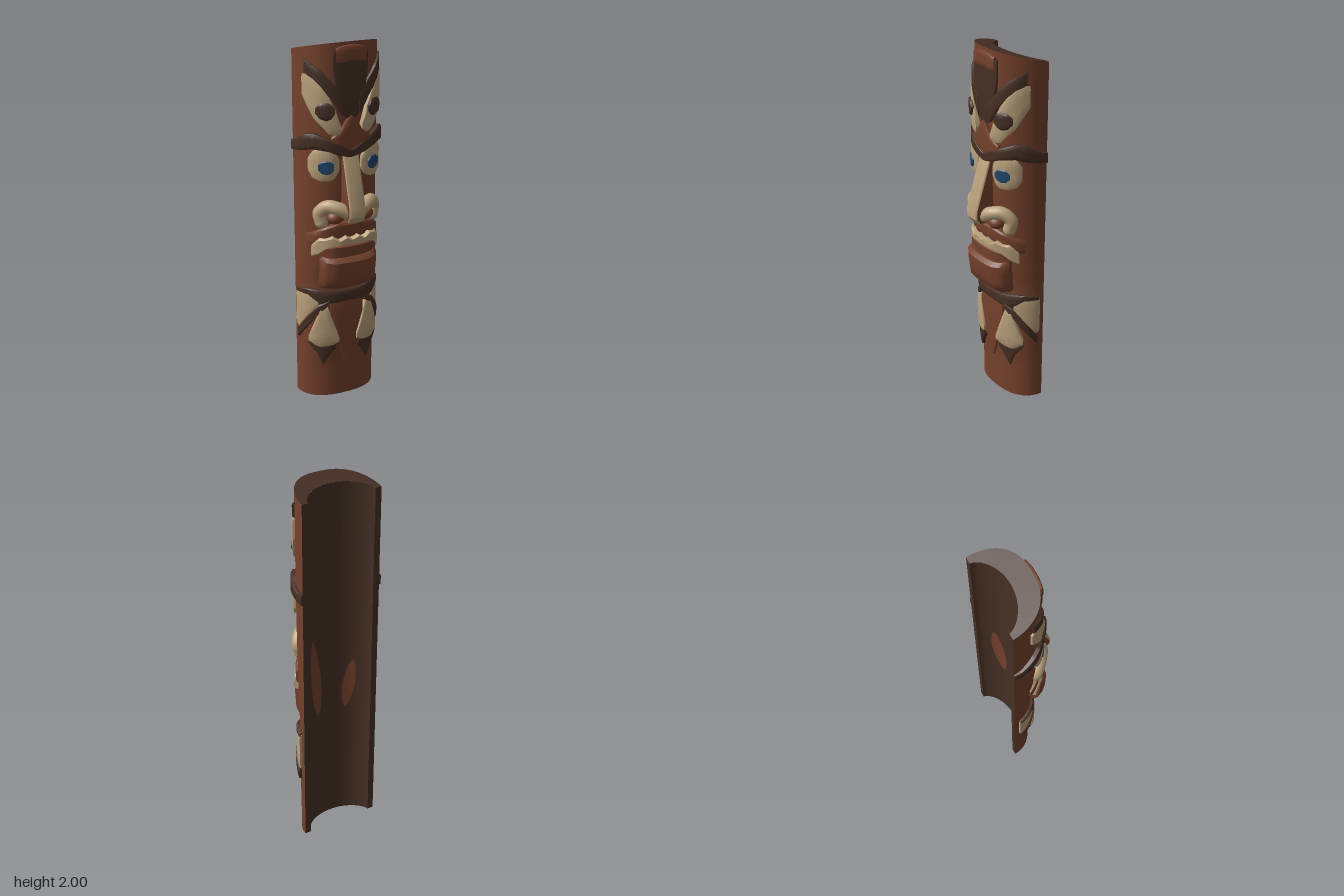
import * as THREE from 'three';
import { toCreasedNormals } from 'three/addons/utils/BufferGeometryUtils.js';

const HALF = 0.225, BACK = -0.155, POWER = 2.6;

const makeMat = (name, color) => Object.assign(new THREE.MeshStandardMaterial({ color }), { name });

// Piecewise linear lookup in rows of [key, value]
function lookup(rows, k) {
  for (let i = 1; i < rows.length; i++) {
    const [a, va] = rows[i - 1], [b, vb] = rows[i];
    if (k <= b) return va + (vb - va) * Math.max(0, (k - a) / (b - a));
  }
  return rows[rows.length - 1][1];
}

// Depth of the pole's front line at each height
const FRONT = [[0, 0], [0.2, 0], [0.35, 0.015], [0.65, 0.015], [0.7, 0.01], [0.8, 0.025],
  [1, 0.035], [1.2, 0.05], [1.45, 0.055], [1.8, 0.06], [2, 0.06]];

// Rounded outer face; a is the angle round the pole, h the height above its surface
function outer(a, y, h = 0) {
  const s = Math.sin(a), c = Math.max(0, Math.cos(a));
  return new THREE.Vector3(
    HALF * Math.sign(s) * Math.abs(s) ** (2 / POWER) + h * s, y,
    BACK + (lookup(FRONT, y) - BACK + h) * c);
}
// Hollow back face
const inner = (a, y, h = 0) => new THREE.Vector3((0.19 - h) * Math.sin(a), y,
  BACK + (0.11 - h) * Math.max(0, Math.cos(a)) ** 1.25);
const angleAt = x => Math.sign(x) * Math.asin(Math.min(1, Math.abs(x) / HALF) ** (POWER / 2));
// Top cut sloping down to the back
const topped = (fn, a, v) => {
  const p = fn(a, 2 * v);
  p.y = v * (1.945 + 0.055 * (fn(a, 2).z - BACK) / 0.215);
  return p;
};

// Surface from a function of (s, t)
function gridGeometry(nu, nv, fn) {
  const pos = [], index = [];
  for (let i = 0; i <= nu; i++) for (let j = 0; j <= nv; j++) pos.push(...fn(i / nu, j / nv).toArray());
  for (let i = 0; i < nu; i++) for (let j = 0; j < nv; j++) {
    const a = i * (nv + 1) + j, b = a + nv + 1;
    index.push(a, b, b + 1, a, b + 1, a + 1);
  }
  const g = new THREE.BufferGeometry();
  g.setAttribute('position', new THREE.Float32BufferAttribute(pos, 3));
  g.setIndex(index);
  g.computeVertexNormals();
  return g;
}

// Raised carving on the pole from rows of [x, top, bottom, share of relief]
function carvingGeometry(rows, h) {
  const cols = [];
  for (const [x, top, bottom, share = 1] of rows) {
    const next = [angleAt(x), top, bottom, share];
    const prev = cols[cols.length - 1];
    if (prev) {
      const n = Math.max(1, Math.ceil((next[0] - prev[0]) / 0.07));
      for (let k = 1; k < n; k++) cols.push(prev.map((v, i) => v + (next[i] - v) * k / n));
    }
    cols.push(next);
  }
  // Cross-section: [fraction of height, fraction of relief]
  const ring = [[0, -1], [0, 0.75], [0.12, 1], [0.37, 1], [0.63, 1], [0.88, 1], [1, 0.75], [1, -1]];
  const last = ring.length - 1;
  const g = gridGeometry(cols.length - 1, last, (s, t) => {
    const [a, top, bottom, share] = cols[Math.round(s * (cols.length - 1))];
    const [f, k] = ring[Math.round(t * last)];
    return outer(a, bottom + (top - bottom) * f, k < 0 ? -0.01 : k * h * share);
  });
  const index = [...g.index.array], e = (cols.length - 1) * (last + 1);
  for (let j = 1; j < last; j++) index.push(0, j, j + 1, e, e + j + 1, e + j);
  g.setIndex(index);
  return toCreasedNormals(g, 0.7);
}

export function createModel() {
  const group = new THREE.Group();
  const brown = makeMat('red brown wood', 0x75412c);
  const dark = makeMat('dark wood', 0x463025);
  const cream = makeMat('cream paint', 0xbaa17c);
  const blue = makeMat('blue paint', 0x20486a);

  const add = (name, geometry, material) => {
    const mesh = new THREE.Mesh(geometry, material);
    mesh.name = name;
    group.add(mesh);
    return mesh;
  };
  // A carving whose rows start at x = 0 crosses the middle; any other is paired
  const carve = (name, material, h, rows) => {
    const flipped = rows.map(([x, ...rest]) => [-x, ...rest]).reverse();
    if (rows[0][0] === 0) return add(name, carvingGeometry([...flipped.slice(0, -1), ...rows], h), material);
    add(name + 'Left', carvingGeometry(rows, h), material);
    add(name + 'Right', carvingGeometry(flipped, h), material);
  };

  // Hollow half pole
  const ang = s => (s - 0.5) * Math.PI;
  add('poleFront', gridGeometry(40, 50, (s, t) => topped(outer, ang(s), t)), brown);
  add('poleHollow', gridGeometry(24, 2, (s, t) => topped(inner, -ang(s), t)), dark);
  add('poleTop', gridGeometry(40, 1, (s, t) => topped(t ? inner : outer, ang(s), 1)), dark);
  add('poleBottom', gridGeometry(40, 1, (s, t) => topped(t ? outer : inner, ang(s), 0)), dark);
  for (const m of [1, -1]) {
    add('poleBackEdge', gridGeometry(1, 2, (s, t) =>
      topped((m > 0) === (s === 0) ? outer : inner, m * Math.PI / 2, t)), dark);
  }

  // Bare spots in the hollow
  for (const [a, lean, width, y0, y1] of [[0.6, 0.32, 0.52, 0.67, 1.16], [-0.6, -0.25, 0.4, 0.68, 0.98]]) {
    add('bareSpot', gridGeometry(4, 16, (s, t) => inner(
      a + lean * (t - 0.5) + (0.5 - s) * width * Math.max(0, Math.sin(Math.PI * t)) ** 0.6,
      y0 + (y1 - y0) * t, 0.004)), brown);
  }

  // Upper bird face
  carve('crest', dark, 0.014, [[0, 1.975, 1.61], [0.03, 1.975, 1.62], [0.06, 1.97, 1.65], [0.075, 1.965, 1.73],
    [0.09, 1.955, 1.85]]);
  carve('crestStroke', dark, 0.017, [[0.045, 1.74, 1.63], [0.1, 1.81, 1.72], [0.15, 1.865, 1.775], [0.2, 1.915, 1.84, 0.6]]);
  carve('crestPanel', brown, 0.02, [[0, 1.985, 1.91], [0.05, 1.98, 1.9], [0.078, 1.97, 1.9]]);
  carve('birdEye', cream, 0.024, [[0.055, 1.58, 1.55], [0.08, 1.66, 1.53], [0.11, 1.73, 1.54],
    [0.14, 1.78, 1.58], [0.17, 1.82, 1.62, 0.8], [0.195, 1.84, 1.69, 0.6], [0.206, 1.835, 1.73, 0.5]]);
  carve('birdPupil', dark, 0.034, [[0.085, 1.67, 1.645], [0.1, 1.695, 1.62], [0.12, 1.705, 1.61],
    [0.145, 1.7, 1.62], [0.162, 1.675, 1.645, 0.8]]);
  carve('beak', brown, 0.024, [[0, 1.63, 1.44], [0.06, 1.55, 1.46], [0.1, 1.52, 1.47]]);
  carve('brow', dark, 0.026, [[0, 1.455, 1.41], [0.06, 1.49, 1.425], [0.12, 1.515, 1.445],
    [0.17, 1.54, 1.46], [0.2, 1.53, 1.445], [0.222, 1.485, 1.43, 0.7], [0.225, 1.475, 1.42, 0.4]]);

  // Round eyes of the middle face
  carve('eye', cream, 0.028, [[0.06, 1.4, 1.34, 0.5], [0.08, 1.445, 1.305, 0.8], [0.105, 1.46, 1.29],
    [0.145, 1.46, 1.29], [0.175, 1.445, 1.305, 0.8], [0.19, 1.41, 1.34, 0.5]]);
  carve('iris', blue, 0.033, [[0.088, 1.38, 1.35], [0.102, 1.4, 1.33], [0.12, 1.405, 1.323],
    [0.138, 1.4, 1.33], [0.152, 1.38, 1.35]]);

  // Curled nostril wings
  const ball = new THREE.SphereGeometry(1, 24, 16);
  for (const m of [1, -1]) {
    const side = m > 0 ? 'Left' : 'Right';
    const curve = new THREE.CatmullRomCurve3([[0.025, 1.115, 0.1], [0.08, 1.145, 0.08], [0.125, 1.15, 0.045],
      [0.155, 1.11, 0.012], [0.145, 1.06, 0.015]].map(([x, y, z]) => new THREE.Vector3(m * x, y, z)));
    add('nostrilWing' + side, new THREE.TubeGeometry(curve, 28, 0.035, 12), cream);
    const tip = add('nostrilTip' + side, ball, cream);
    tip.position.set(m * 0.145, 1.06, 0.015);
    tip.scale.setScalar(0.035);
    const hole = add('nostril' + side, ball, brown);
    hole.position.set(m * 0.085, 1.09, 0.055);
    hole.scale.set(0.046, 0.036, 0.044);
  }

  // Long nose, its side profile extruded across: wooden flanks, painted ridge and tip
  const profile = new THREE.Shape([[0.02, 1.42], [0.02, 1.08], [0.125, 1.08], [0.147, 1.11], [0.147, 1.15],
    [0.065, 1.415]].map(([z, y]) => new THREE.Vector2(-z, y)).reverse());
  const nose = new THREE.ExtrudeGeometry(profile, { depth: 0.07, bevelThickness: 0.01, bevelSize: 0.008, bevelSegments: 3 });
  nose.translate(0, 0, -0.035).rotateY(Math.PI / 2);
  add('nose', toCreasedNormals(nose, 0.6), [brown, cream]);
  const noseTip = add('noseTip', ball, cream);
  noseTip.position.set(0, 1.125, 0.1);
  noseTip.scale.set(0.054, 0.055, 0.052);

  // Mouth and jutting jaw
  carve('upperLip', brown, 0.034, [[0, 1.05, 0.965], [0.06, 1.055, 0.965], [0.12, 1.035, 0.955], [0.16, 1.01, 0.93, 0.7],
    [0.195, 0.985, 0.92, 0.3]]);
  carve('teeth', cream, 0.064, [[0, 0.968, 0.935], [0.03, 0.985, 0.935], [0.06, 0.965, 0.935], [0.09, 0.988, 0.93, 0.9],
    [0.12, 0.975, 0.91, 0.75], [0.145, 0.975, 0.88, 0.6], [0.175, 0.93, 0.86, 0.4]]);
  carve('lowerLip', brown, 0.06, [[0, 0.935, 0.86], [0.09, 0.935, 0.86, 0.95], [0.145, 0.925, 0.86, 0.6]]);
  carve('jaw', brown, 0.085, [[0, 0.865, 0.69], [0.08, 0.865, 0.69], [0.115, 0.87, 0.69, 0.85], [0.142, 0.875, 0.69, 0.5]]);

  // Collar and feathers
  carve('collar', dark, 0.02, [[0, 0.65, 0.585], [0.08, 0.65, 0.58], [0.14, 0.66, 0.58], [0.19, 0.665, 0.63],
    [0.222, 0.65, 0.63, 0.7]]);
  carve('shoulder', cream, 0.017, [[0.15, 0.635, 0.56], [0.2, 0.64, 0.47], [0.218, 0.64, 0.42, 0.9], [0.2225, 0.64, 0.43, 0.8]]);
  carve('shoulderStripe', dark, 0.023, [[0.1, 0.6, 0.57], [0.15, 0.57, 0.51], [0.2, 0.48, 0.42], [0.22, 0.41, 0.355, 0.7]]);
  carve('chestFeather', brown, 0.016, [[0, 0.59, 0.21], [0.04, 0.59, 0.32], [0.09, 0.59, 0.34]]);
  carve('wingFeather', cream, 0.026, [[0.05, 0.38, 0.345], [0.075, 0.46, 0.33], [0.105, 0.555, 0.325], [0.14, 0.56, 0.32],
    [0.162, 0.48, 0.33], [0.188, 0.385, 0.35, 0.8]]);
  carve('featherTip', dark, 0.019, [[0.065, 0.36, 0.3], [0.09, 0.36, 0.27], [0.125, 0.36, 0.2], [0.155, 0.36, 0.28],
    [0.188, 0.37, 0.335]]);

  return group;
}
